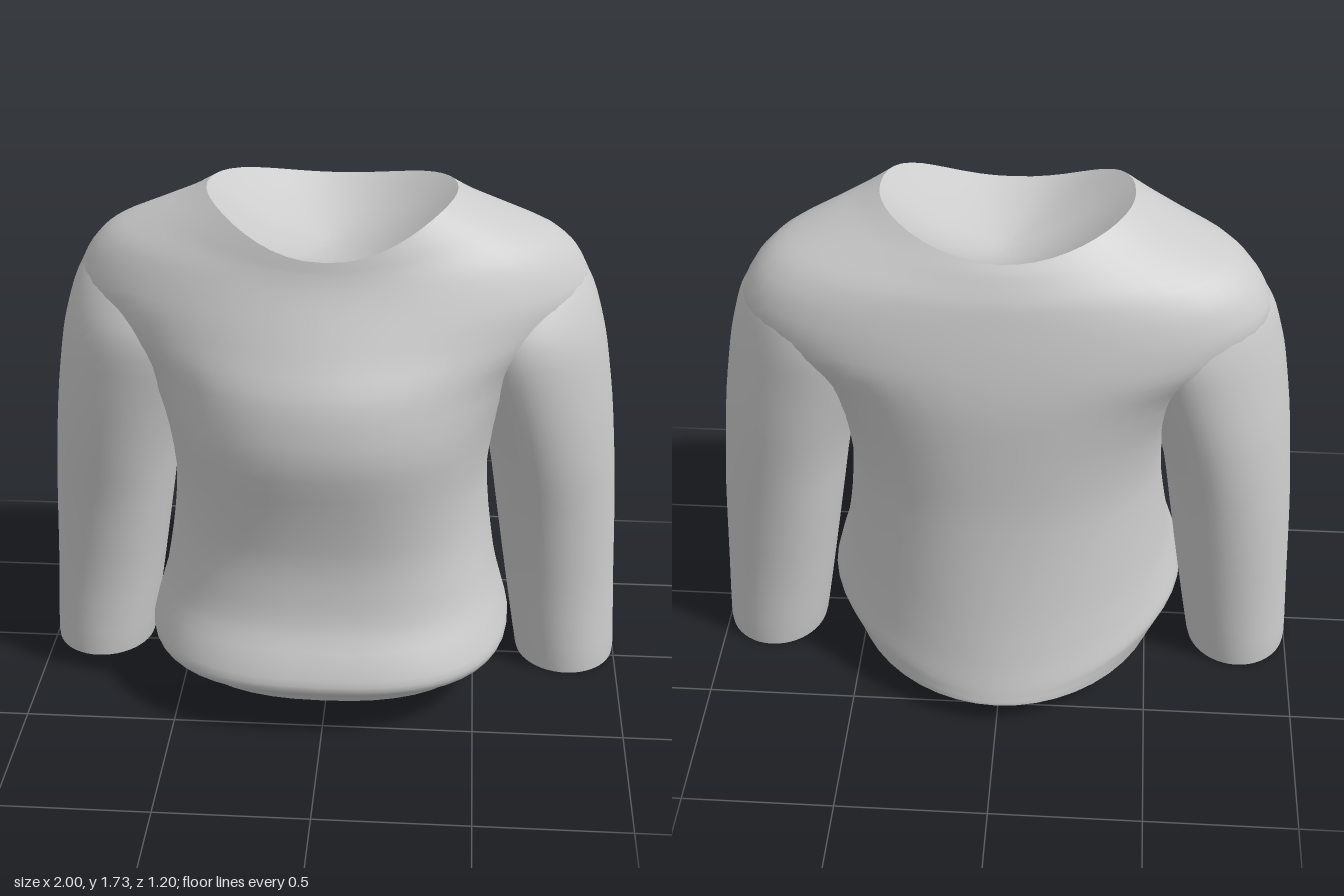
import * as THREE from 'three';
import { toCreasedNormals } from 'three/addons/utils/BufferGeometryUtils.js';

const SEG = 48;
const material = new THREE.MeshStandardMaterial({ color: 0xcccccc, side: THREE.DoubleSide });
const lerp = THREE.MathUtils.lerp;

// Smoothly fill in extra rows between the given profile rows
function refine(rows, steps) {
  const out = [];
  for (let i = 0; i < rows.length - 1; i++) {
    const a = rows[Math.max(i - 1, 0)], b = rows[i], c = rows[i + 1];
    const d = rows[Math.min(i + 2, rows.length - 1)];
    for (let k = 0; k < steps; k++) {
      const t = k / steps;
      out.push(b.map((v, j) => {
        const m0 = (c[j] - a[j]) * 0.4, m1 = (d[j] - b[j]) * 0.4;
        const t2 = t * t, t3 = t2 * t;
        return (2 * t3 - 3 * t2 + 1) * v + (t3 - 2 * t2 + t) * m0
          + (3 * t2 - 2 * t3) * c[j] + (t3 - t2) * m1;
      }));
    }
  }
  out.push(rows[rows.length - 1]);
  return out;
}

// One closed ring of points from a function of the angle
function ring(pointAt) {
  return Array.from({ length: SEG }, (_, i) => pointAt((i / SEG) * Math.PI * 2));
}

// Skin between rings, with optional centre points closing the ends
function loft(name, rings, bottom, top) {
  const pos = [], index = [];
  rings.forEach((r) => r.forEach((p) => pos.push(...p)));
  const last = (rings.length - 1) * SEG;
  for (let i = 0; i < SEG; i++) {
    const n = (i + 1) % SEG;
    for (let r = 0; r < last; r += SEG) {
      index.push(r + i, r + SEG + i, r + n, r + n, r + SEG + i, r + SEG + n);
    }
  }
  const close = (point, start, flip) => {
    const c = pos.length / 3;
    pos.push(...point);
    for (let i = 0; i < SEG; i++) {
      const n = (i + 1) % SEG;
      if (flip) index.push(c, start + i, start + n);
      else index.push(c, start + n, start + i);
    }
  };
  if (bottom) close(bottom, 0, true);
  if (top) close(top, last, false);
  const geometry = new THREE.BufferGeometry();
  geometry.setAttribute('position', new THREE.Float32BufferAttribute(pos, 3));
  geometry.setIndex(index);
  const mesh = new THREE.Mesh(toCreasedNormals(geometry, 0.75), material);
  mesh.name = name;
  return mesh;
}

// Rounded-box section: sides, front and back can sit at different heights
function bodyPoint([ySide, yFront, yBack, w, zf, zb, nf, nb, zc], a) {
  const c = Math.cos(a), s = Math.sin(a);
  const n = s >= 0 ? nf : nb;
  const x = w * Math.sign(c) * Math.abs(c) ** (2 / n);
  const z = zc + ((s >= 0 ? zf : zb) - zc) * Math.abs(s) ** (2 / n);
  const y = lerp(ySide, s >= 0 ? yFront : yBack, Math.abs(s) ** 2.8);
  return [x, y, z];
}

export function createModel() {
  const group = new THREE.Group();
  group.name = 'sweater';

  // Body: y side, y front, y back, half width, front z, back z, front and back roundness, widest z
  // The puffed hem fades out towards the back
  const flat = (y, ...rest) => [y, y, y, ...rest];
  const bodyRows = [
    flat(0.085, 0.54, 0.48, -0.60, 2.4, 1.95, 0),
    [0.125, 0.125, 0.092, 0.56, 0.51, -0.60, 2.5, 1.9, 0],
    [0.175, 0.175, 0.105, 0.60, 0.585, -0.597, 2.6, 1.85, 0.03],
    [0.215, 0.215, 0.135, 0.615, 0.60, -0.59, 2.6, 1.85, 0.03],
    [0.29, 0.29, 0.23, 0.595, 0.57, -0.565, 2.6, 1.9, 0.03],
    flat(0.40, 0.565, 0.515, -0.53, 2.6, 2, 0.02),
    flat(0.60, 0.535, 0.495, -0.50, 2.5, 2.1, 0),
    flat(0.80, 0.525, 0.525, -0.48, 2.4, 2.2, 0),
    flat(1.00, 0.56, 0.565, -0.475, 2.2, 2.3, 0),
    flat(1.18, 0.65, 0.54, -0.47, 1.95, 2.35, -0.03),
    flat(1.30, 0.80, 0.475, -0.455, 1.8, 2.35, -0.06),
    flat(1.40, 0.842, 0.42, -0.435, 1.85, 2.3, -0.07),
    [1.50, 1.46, 1.48, 0.797, 0.388, -0.415, 1.9, 2.25, -0.07],
    [1.57, 1.51, 1.55, 0.725, 0.365, -0.395, 1.95, 2.1, -0.06],
    [1.635, 1.55, 1.60, 0.59, 0.352, -0.37, 2, 2, -0.03],
    [1.685, 1.572, 1.635, 0.48, 0.347, -0.35, 2.1, 2, 0],
    [1.73, 1.59, 1.66, 0.40, 0.343, -0.33, 2.2, 2, 0.01],
  ];
  const bodyRings = refine(bodyRows, 3).map((row) => ring((a) => bodyPoint(row, a)));
  group.add(loft('body', bodyRings, [0, 0.085, -0.05]));

  // Neck opening: shallow bowl sinking from the collar edge
  const collar = bodyRows[bodyRows.length - 1];
  const bowlRings = [1, 0.85, 0.7, 0.5, 0.3, 0.12].map((s) => ring((a) => {
    const [x, y, z] = bodyPoint(collar, a);
    return [x * s, lerp(1.53, y, s ** 1.7), z * s];
  }));
  group.add(loft('neckOpening', bowlRings, null, [0, 1.53, 0]));

  // Sleeves: y, inner x, outer x, back z, front z, narrowing towards the outside
  const sleeveRows = [
    [0, 0.66, 0.99, -0.255, 0.12, 0],
    [0.02, 0.65, 1.0, -0.26, 0.125, 0],
    [0.30, 0.605, 0.985, -0.27, 0.125, 0.03],
    [0.60, 0.56, 0.97, -0.295, 0.16, 0.08],
    [0.80, 0.53, 0.955, -0.315, 0.20, 0.12],
    [1.00, 0.48, 0.935, -0.335, 0.235, 0.16],
    [1.20, 0.41, 0.905, -0.345, 0.26, 0.18],
    [1.30, 0.38, 0.882, -0.345, 0.25, 0.18],
    [1.40, 0.36, 0.85, -0.325, 0.20, 0.15],
    [1.50, 0.38, 0.785, -0.27, 0.12, 0.1],
    [1.55, 0.42, 0.68, -0.18, 0.04, 0],
  ];
  for (const side of [1, -1]) {
    const rings = refine(sleeveRows, 3).map(([y, x0, x1, z0, z1, k]) => ring((a) => [
      side * (x0 + x1) / 2 + (x1 - x0) / 2 * Math.cos(a),
      y,
      (z0 + z1) / 2 + (z1 - z0) / 2 * Math.sin(a) * (1 - side * k * Math.cos(a)),
    ]));
    group.add(loft(side > 0 ? 'leftSleeve' : 'rightSleeve', rings,
      [side * 0.825, 0.05, -0.07], [side * 0.54, 1.56, -0.07]));
  }
  return group;
}
